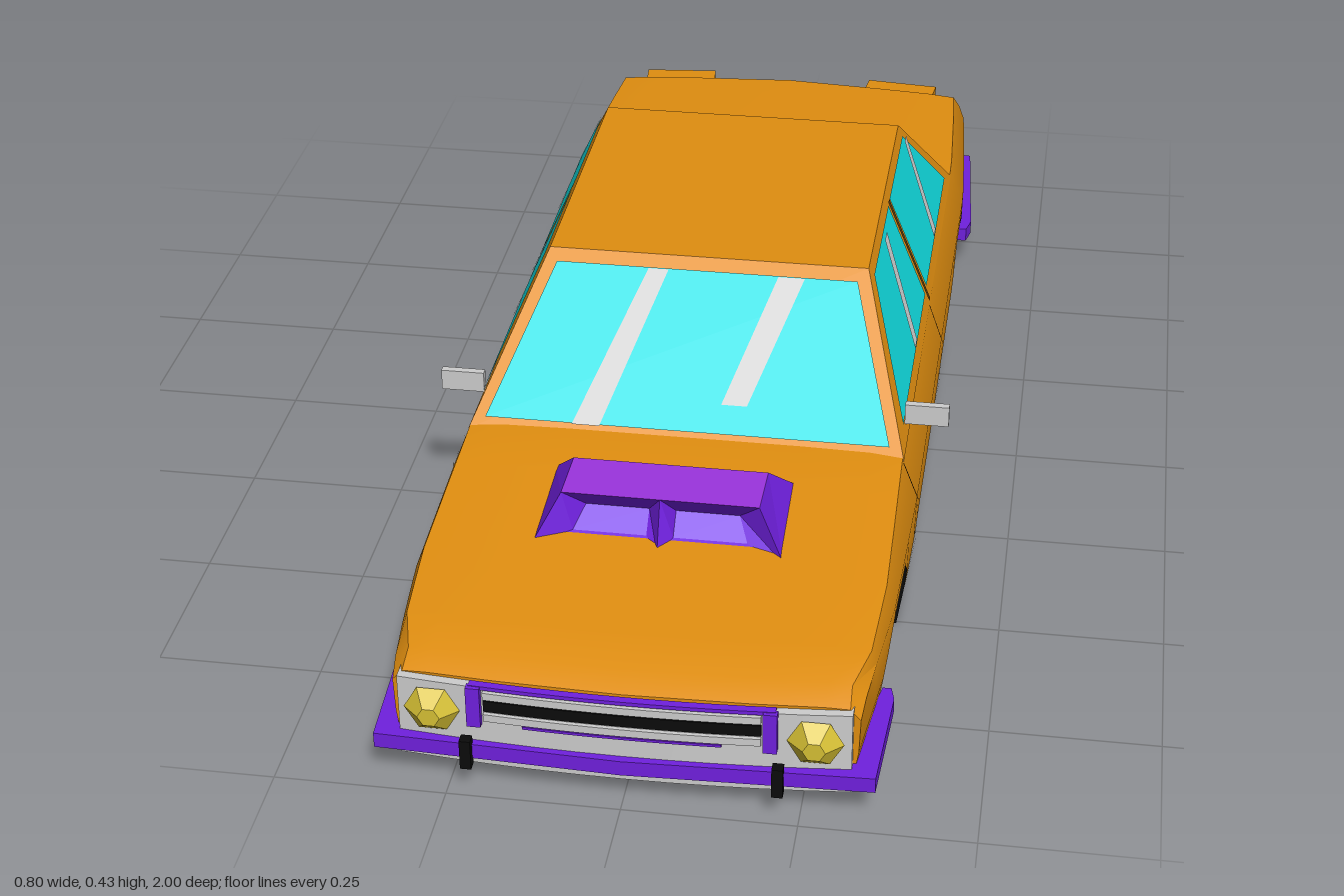
import * as THREE from 'three';
import { toCreasedNormals } from 'three/addons/utils/BufferGeometryUtils.js';

const mat = (name, color) => {
  const m = new THREE.MeshStandardMaterial({ color, side: THREE.DoubleSide });
  m.name = name;
  return m;
};

// piecewise-linear lookup through [position, value] pairs sorted upwards
function lerpKeys(keys, t) {
  if (t <= keys[0][0]) return keys[0][1];
  for (let i = 1; i < keys.length; i++) {
    const [a, va] = keys[i - 1], [b, vb] = keys[i];
    if (t <= b) return va + (vb - va) * (t - a) / (b - a);
  }
  return keys[keys.length - 1][1];
}

const deckY = z => lerpKeys([[-0.965, 0.205], [-0.925, 0.236], [-0.55, 0.243], [0.42, 0.243], [0.93, 0.192], [0.97, 0.178]], z);
const floorY = z => lerpKeys([[-0.965, 0.05], [-0.65, 0.015], [-0.37, 0.0], [0.5, 0.0], [0.77, 0.02], [0.97, 0.04]], z);
const halfWidth = z => lerpKeys([[-0.965, 0.34], [-0.6, 0.362], [0.4, 0.362], [0.7, 0.355], [0.97, 0.33]], z);
const wallX = (y, z) => halfWidth(z) - 0.362 + lerpKeys([[0, 0.345], [0.1, 0.36], [0.14, 0.362], [0.175, 0.362], [0.245, 0.335]], y);

// bows the nose and gives the tail its shallow V
function bowed(x, y, z) {
  const nose = THREE.MathUtils.clamp((z - 0.8) / 0.17, 0, 1);
  const tail = THREE.MathUtils.clamp((-0.8 - z) / 0.165, 0, 1);
  return [x, y, z - nose * 0.018 * (x / 0.33) ** 2 + tail * 0.035 * Math.abs(x) / 0.34];
}

function meshFromTriangles(name, pos, material, crease = 0.5) {
  let g = new THREE.BufferGeometry();
  g.setAttribute('position', new THREE.Float32BufferAttribute(pos.flat(), 3));
  g = toCreasedNormals(g, crease);
  const m = new THREE.Mesh(g, material);
  m.name = name;
  return m;
}

const quadMesh = (name, quads, material) => meshFromTriangles(
  name, quads.flatMap(([a, b, c, d]) => [a, b, c, a, c, d]), material, 0.1);

function loft(name, rings, material, extra = []) {
  const tris = [...extra];
  for (let i = 0; i + 1 < rings.length; i++) {
    for (let j = 0; j + 1 < rings[i].length; j++) {
      const a = rings[i][j], b = rings[i][j + 1], c = rings[i + 1][j], d = rings[i + 1][j + 1];
      tris.push(a, c, b, b, c, d);
    }
  }
  return meshFromTriangles(name, tris, material);
}

const flip = ([x, y, z]) => [-x, y, z];

export function createModel() {
  const car = new THREE.Group();
  car.name = 'car';
  const orange = mat('bodyOrange', 0xe08e10), black = mat('underbodyBlack', 0x0b0b0b);
  const purple = mat('trimPurple', 0x7020de), violet = mat('scoopViolet', 0x9c34e0);
  const cyan = mat('glassCyan', 0x10dce0), grey = mat('lightGrey', 0xcdcdcd);
  const yellow = mat('lampYellow', 0xd6c034), brown = mat('seamBrown', 0x5a3808);

  const add = (name, geo, material, x = 0, y = 0, z = 0) => {
    const m = new THREE.Mesh(geo, material);
    m.name = name;
    m.position.set(x, y, z);
    car.add(m);
    return m;
  };

  // body stations from nose to tail, with the wheel arches as steps in the sill
  const arch = c => [[0.135, 0], [0.134, 0.075], [0.11, 0.12], [0.065, 0.158], [-0.065, 0.158], [-0.11, 0.12], [-0.134, 0.075], [-0.135, 0]]
    .map(([dz, y]) => [c + dz, y]);
  const plain = zs => zs.map(z => [z, 0]);
  const stations = [...plain([0.97, 0.93, 0.85]), ...arch(0.64), ...plain([0.42, 0.1, -0.2]),
    ...arch(-0.51), ...plain([-0.8, -0.88, -0.925, -0.95, -0.965])];

  const shell = [], floor = [];
  for (const [z, archY] of stations) {
    const yb = floorY(z), sill = Math.max(yb, archY), top = deckY(z);
    const shoulder = Math.min(0.175, top - 0.022), edge = top - 0.004;
    const half = [sill, Math.max(sill, 0.1), shoulder, edge].map(y => [wallX(y, z), y]);
    const ex = half[3][0];
    if (z > 0.9) half[3][0] -= 0.015;
    half.push([ex - 0.05, top - 0.001], [0.18, top], [0, top]);
    const right = half.map(([x, y]) => bowed(x, y, z));
    shell.push([...right, ...right.slice(0, -1).reverse().map(flip)]);
    const under = [[0, yb], [0.2, yb], [0.2, sill], [half[0][0], sill]].map(([x, y]) => bowed(x, y, z));
    floor.push([...under.slice(1).reverse().map(flip), ...under]);
  }
  // nose and tail panels
  const caps = [];
  const nose = shell[0], tail = shell[shell.length - 1];
  const noseBase = bowed(0, 0.04, 0.97), tailBase = bowed(0, 0.05, -0.965);
  for (let j = 0; j + 1 < nose.length; j++) {
    caps.push(noseBase, nose[j], nose[j + 1], tailBase, tail[j + 1], tail[j]);
  }
  car.add(loft('bodyShell', shell, orange, caps));
  car.add(loft('underbody', floor, black));

  // cabin
  const k = y => (y - 0.245) / 0.18;
  const sideX = y => 0.335 - 0.08 * k(y);
  const frontZ = y => 0.40 - 0.245 * k(y);
  const rearZ = y => -0.55 + 0.185 * k(y);
  const corners = y => [[-sideX(y), y, frontZ(y)], [sideX(y), y, frontZ(y)], [sideX(y), y, rearZ(y)], [-sideX(y), y, rearZ(y)]];
  const block = (lo, hi) => [hi, ...[0, 1, 2, 3].map(i => [lo[i], lo[(i + 1) % 4], hi[(i + 1) % 4], hi[i]])];
  car.add(quadMesh('cabin', block(corners(0.236), corners(0.425)), orange));

  // glass and its reflections: [bottom y, top y, bottom from, bottom to, top from, top to]
  const onFront = o => (x, y) => [x, y, frontZ(y) + o];
  const onRear = o => (x, y) => [-x, y, rearZ(y) - o];
  const onSide = (s, o) => (z, y) => [s * (sideX(y) + o), y, z];
  const pane = (name, place, [y0, y1, a0, b0, a1, b1], m) =>
    car.add(quadMesh(name, [[place(a0, y0), place(b0, y0), place(b1, y1), place(a1, y1)]], m));
  pane('windscreen', onFront(0.004), [0.25, 0.412, -0.315, 0.315, -0.24, 0.24], cyan);
  pane('windscreenStreak', onFront(0.007), [0.25, 0.412, -0.178, -0.135, -0.092, -0.06], grey);
  pane('windscreenStreak', onFront(0.007), [0.28, 0.412, 0.05, 0.09, 0.115, 0.157], grey);
  pane('rearWindow', onRear(0.004), [0.256, 0.415, -0.315, 0.315, -0.242, 0.242], cyan);
  pane('rearWindowStreak', onRear(0.007), [0.256, 0.415, -0.025, 0.01, -0.1, -0.065], grey);
  for (const s of [1, -1]) {
    pane('frontSideWindow', onSide(s, 0.003), [0.26, 0.412, 0.345, -0.07, 0.15, -0.088], cyan);
    pane('rearSideWindow', onSide(s, 0.003), [0.26, 0.412, -0.098, -0.5, -0.112, -0.35], cyan);
    pane('frontSideStreak', onSide(s, 0.005), [0.265, 0.405, 0.12, 0.09, 0.02, -0.01], grey);
    pane('rearSideStreak', onSide(s, 0.005), [0.265, 0.405, -0.265, -0.295, -0.345, -0.368], grey);
    pane('doorPillar', onSide(s, 0.004), [0.245, 0.415, -0.074, -0.086, -0.092, -0.106], brown);

    // door seams following the body side
    for (const [zLow, zHigh] of [[0.42, 0.42], [-0.04, -0.072]]) {
      const rows = [0.01, 0.1, 0.175, 0.238].map(y => {
        const z = zLow + (zHigh - zLow) * y / 0.24, x = s * (wallX(y, z) + 0.002);
        return [[x, y, z + 0.002], [x, y, z - 0.002]];
      });
      car.add(quadMesh('doorSeam', [0, 1, 2].map(i => [...rows[i], rows[i + 1][1], rows[i + 1][0]]), brown));
    }

    // door mirrors
    add('mirror', new THREE.BoxGeometry(0.068, 0.034, 0.012), grey, s * 0.366, 0.267, 0.32);
    add('mirrorGlass', new THREE.BoxGeometry(0.058, 0.026, 0.004), cyan, s * 0.366, 0.267, 0.313);

    // headlamps
    const lamp = new THREE.CylinderGeometry(0.016, 0.04, 0.022, 6, 1, false, Math.PI / 6).toNonIndexed();
    lamp.computeVertexNormals();
    add('headlamp', lamp.rotateX(Math.PI / 2), yellow, s * 0.27, 0.128, 0.985);

    // grille side posts and bumper guards
    add('grillePost', new THREE.BoxGeometry(0.02, 0.066, 0.012), purple, s * 0.208, 0.145, 0.981);
    add('bumperGuard', new THREE.BoxGeometry(0.016, 0.048, 0.016), black, s * 0.22, 0.069, 0.99);

    // tail lamps, turned to follow the tail
    const tailLamp = new THREE.Group();
    tailLamp.name = 'tailLamp';
    tailLamp.position.set(s * 0.215, 0.212, -0.93);
    tailLamp.rotation.y = -s * 0.1;
    const housing = new THREE.Mesh(new THREE.BoxGeometry(0.132, 0.04, 0.04), orange);
    housing.name = 'tailLampHousing';
    tailLamp.add(housing);
    for (const y of [-0.01, 0.007]) {
      const bar = new THREE.Mesh(new THREE.BoxGeometry(0.124, 0.008, 0.008), grey);
      bar.name = 'tailLampBar';
      bar.position.set(0, y, -0.02);
      tailLamp.add(bar);
    }
    car.add(tailLamp);
  }

  // bowed nose panel and grille bars
  const bowedBar = (name, w, h, d, y, z, m) => {
    const g = new THREE.BoxGeometry(w, h, d, 10, 1, 1), p = g.attributes.position;
    for (let i = 0; i < p.count; i++) p.setZ(i, p.getZ(i) - 0.018 * (p.getX(i) / 0.33) ** 2);
    g.computeVertexNormals();
    add(name, g, m, 0, y, z);
  };
  bowedBar('nosePanel', 0.64, 0.132, 0.03, 0.107, 0.968, grey);
  bowedBar('grilleTopTrim', 0.43, 0.006, 0.012, 0.176, 0.982, purple);
  bowedBar('grilleLowerTrim', 0.28, 0.004, 0.006, 0.114, 0.983, purple);
  bowedBar('grilleSlot', 0.39, 0.018, 0.006, 0.144, 0.983, black);
  bowedBar('grilleBar', 0.39, 0.012, 0.014, 0.163, 0.982, grey);
  bowedBar('grilleBar', 0.39, 0.012, 0.014, 0.126, 0.982, grey);

  // wrap-around bumpers, as a plan outline mirrored across x
  const bumper = (name, outer, inner) => {
    const side = [...outer, ...inner.slice().reverse()];
    for (const s of [1, -1]) {
      const shape = new THREE.Shape(side.map(([x, z]) => new THREE.Vector2(s * x, -z)));
      const g = new THREE.ExtrudeGeometry(shape, { depth: 0.024, bevelEnabled: false });
      add(name, g.rotateX(-Math.PI / 2), purple, 0, 0.057, 0);
    }
  };
  bumper('frontBumper', [[0, 0.995], [0.355, 0.982], [0.364, 0.8], [0.358, 0.775]],
    [[0, 0.96], [0.32, 0.945], [0.34, 0.8], [0.345, 0.775]]);
  bumper('rearBumper', [[0, -1], [0.355, -0.957], [0.375, -0.68], [0.368, -0.648]],
    [[0, -0.95], [0.32, -0.91], [0.345, -0.68], [0.345, -0.648]]);

  // bonnet scoop with two recessed mouths
  const lo = [[-0.187, 0.21, 0.672], [0.187, 0.21, 0.672], [0.187, 0.225, 0.485], [-0.187, 0.225, 0.485]];
  const hi = [[-0.147, 0.283, 0.64], [0.147, 0.283, 0.64], [0.147, 0.28, 0.54], [-0.147, 0.28, 0.54]];
  const [top, , right, back, left] = block(lo, hi);
  car.add(quadMesh('scoopTop', [top, back], violet));
  const mouths = [];
  for (const s of [1, -1]) {
    const rim = [[0, 0.21, 0.672], [s * 0.187, 0.21, 0.672], [s * 0.147, 0.283, 0.64], [0, 0.283, 0.64]];
    const pit = [[s * 0.02, 0.222, 0.645], [s * 0.13, 0.222, 0.645], [s * 0.115, 0.25, 0.615], [s * 0.02, 0.25, 0.615]];
    const faces = block(rim, pit);
    mouths.push(...(s > 0 ? faces : faces.map(q => q.slice().reverse())));
  }
  car.add(quadMesh('scoopFront', [right, left, ...mouths], purple));
  return car;
}
